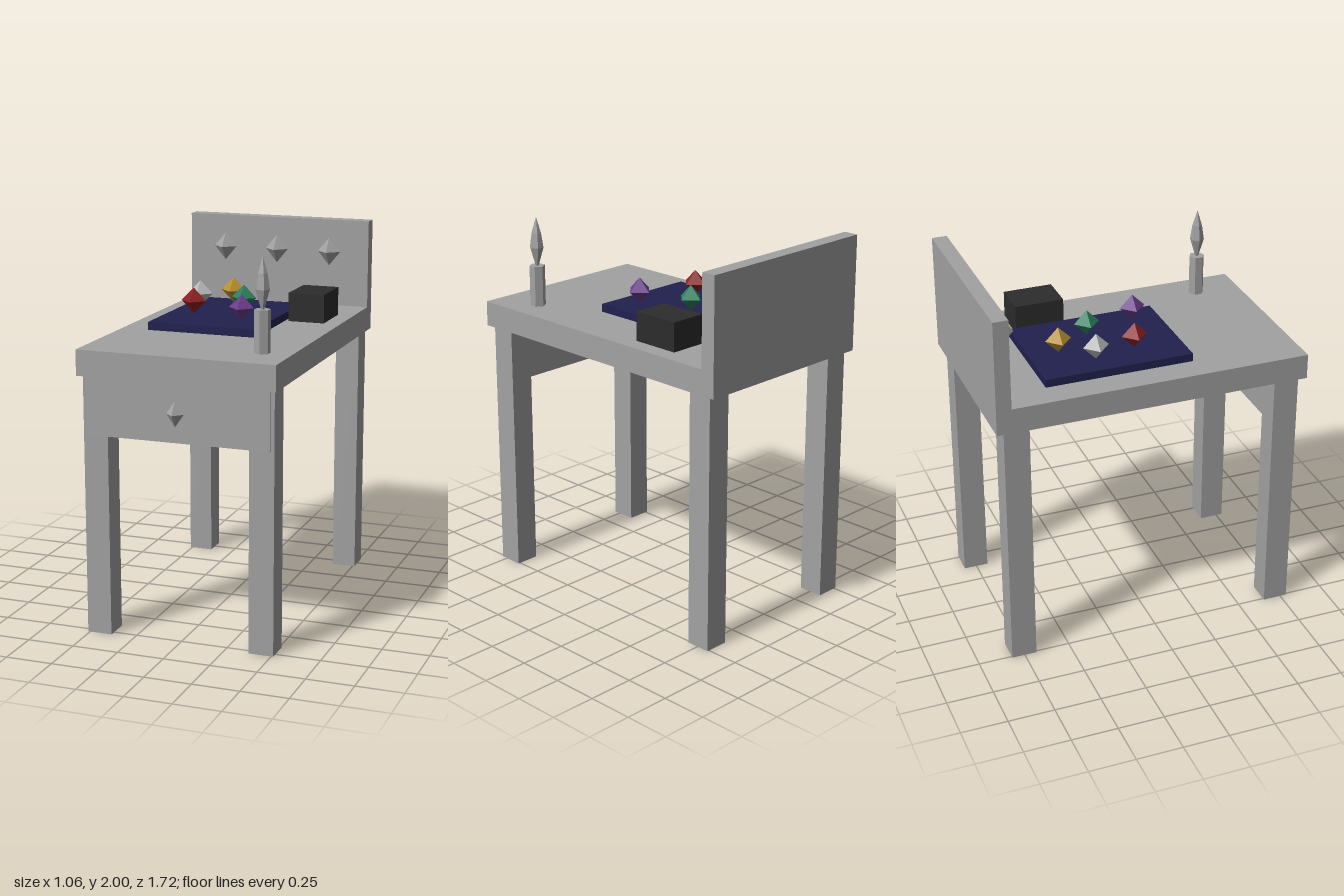
import * as THREE from 'three';

const mat = (name, color) => {
  const m = new THREE.MeshStandardMaterial({ color });
  m.name = name;
  m.flatShading = true;
  return m;
};

export function createModel() {
  const group = new THREE.Group();
  const grey = mat('grey', 0xa2a2a2);
  const black = mat('black', 0x2c2c2c);
  const navy = mat('navy', 0x20204f);

  const add = (name, geometry, material) => {
    const mesh = new THREE.Mesh(geometry, material);
    mesh.name = name;
    group.add(mesh);
    return mesh;
  };

  // Box given by its minimum and maximum corners
  const box = (name, [x0, y0, z0], [x1, y1, z1], material) =>
    add(name, new THREE.BoxGeometry(x1 - x0, y1 - y0, z1 - z0), material)
      .position.set((x0 + x1) / 2, (y0 + y1) / 2, (z0 + z1) / 2);

  // Octahedron with its own radius along each axis
  const octahedron = (name, centre, radii, material) =>
    add(name, new THREE.OctahedronGeometry(1).scale(...radii), material)
      .position.set(...centre);

  // Table
  box('tableTop', [-0.53, 1.38, -0.86], [0.53, 1.515, 0.825], grey);
  box('backBoard', [-0.53, 1.515, -0.86], [0.53, 2, -0.78], grey);
  for (const [side, x] of [['Left', 0.445], ['Right', -0.445]]) {
    box('frontLeg' + side, [x - 0.066, 0, 0.65], [x + 0.066, 1.38, 0.785], grey);
    box('backLeg' + side, [x - 0.066, 0, -0.82], [x + 0.066, 1.38, -0.685], grey);
  }

  // Drawer and knobs
  box('drawer', [-0.49, 1.07, 0.69], [0.49, 1.38, 0.795], grey);
  octahedron('drawerKnob', [0, 1.225, 0.815], [0.047, 0.067, 0.047], grey);
  for (const x of [-0.31, 0, 0.31])
    octahedron('wallPeg', [x, 1.825, -0.752], [0.065, 0.079, 0.063], grey);

  // Cloth with gems
  box('cloth', [-0.38, 1.515, -0.553], [0.22, 1.558, 0.243], navy);
  const gems = [
    ['silver', 0xb8b8b8, -0.27, -0.245],
    ['red', 0x8b2020, -0.222, -0.018],
    ['gold', 0xb8902f, -0.133, -0.4],
    ['green', 0x2a8060, 0, -0.198],
    ['purple', 0x6a3d8c, 0.09, 0.09],
  ];
  for (const [name, color, x, z] of gems)
    octahedron(name + 'Gem', [x, 1.638, z], [0.07, 0.07, 0.07], mat(name, color));

  // Dark box
  box('smallBox', [0.24, 1.515, -0.508], [0.44, 1.67, -0.242], black);

  // Candle and its leaf-shaped flame
  add('candle', new THREE.CylinderGeometry(0.042, 0.042, 0.22, 6), grey)
    .position.set(0.375, 1.625, 0.58);
  const profile = [[0, 0], [0.009, 0], [0.038, 0.1], [0.026, 0.18], [0, 0.265]];
  const flame = new THREE.LatheGeometry(profile.map(([r, y]) => new THREE.Vector2(r, y)), 6);
  const flameMesh = add('flame', flame, grey);
  flameMesh.position.set(0.375, 1.735, 0.58);
  flameMesh.rotation.y = Math.PI / 6;

  return group;
}
